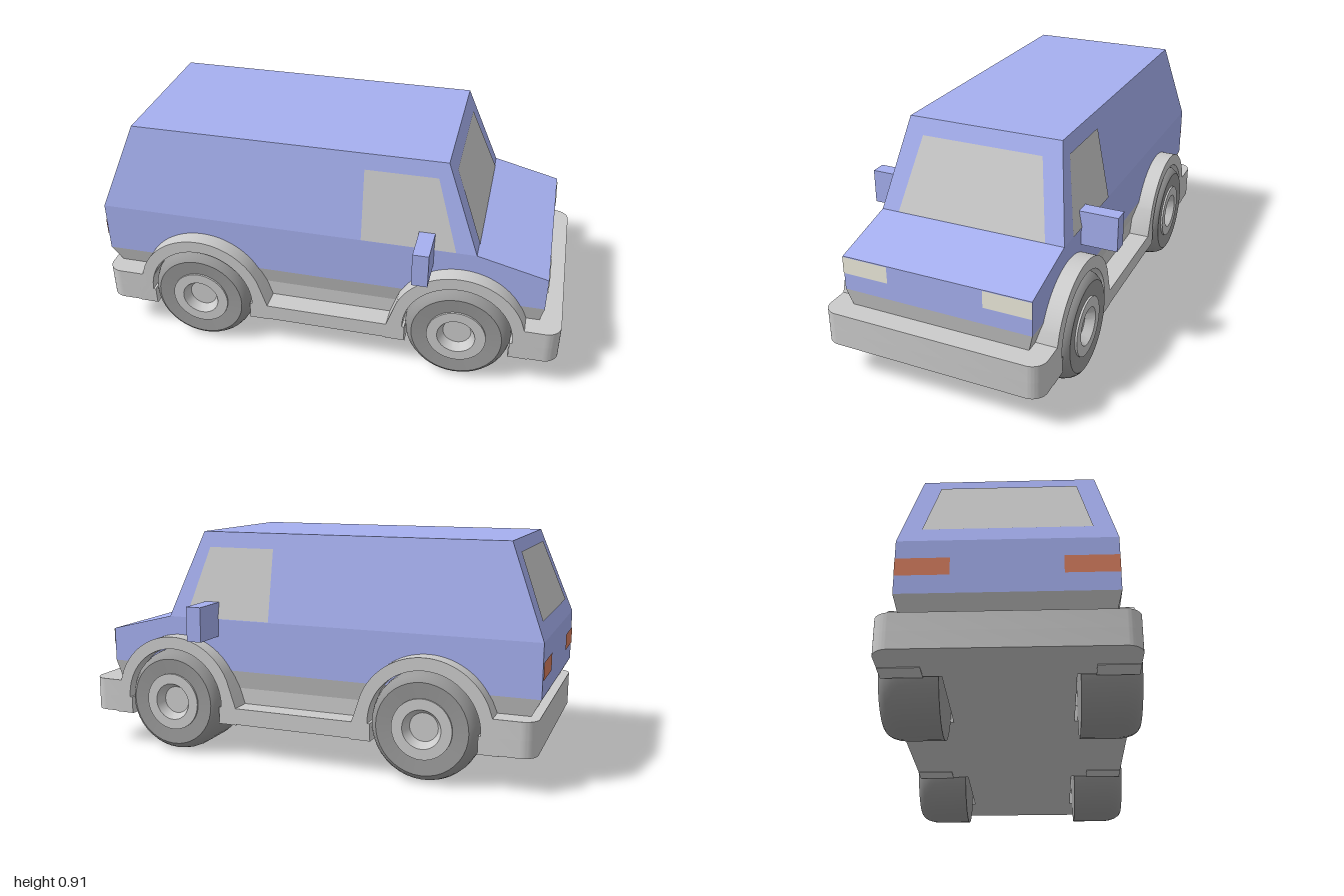
import * as THREE from 'three';
import { toCreasedNormals } from 'three/addons/utils/BufferGeometryUtils.js';
import { ConvexGeometry } from 'three/addons/geometries/ConvexGeometry.js';

const paint = (color) => new THREE.MeshStandardMaterial({ color });
const grey = paint(0xcccccc);
const rubber = paint(0x999999);
const blue = paint(0xa6b0f0);
const glass = new THREE.MeshStandardMaterial({ color: 0xcccccc, side: THREE.DoubleSide });
const lampWhite = new THREE.MeshStandardMaterial({ color: 0xeeecdc, side: THREE.DoubleSide });
const lampRed = new THREE.MeshStandardMaterial({ color: 0xd87f60, side: THREE.DoubleSide });

const HALF_L = 0.948, HALF_W = 0.451, CORNER = 0.06;
const AXLES = { front: 0.546, rear: -0.526 };
const WHEEL_Y = 0.215;

function add(parent, name, geometry, material) {
  const mesh = new THREE.Mesh(geometry, material);
  mesh.name = name;
  parent.add(mesh);
  return mesh;
}

// Convex block mirrored in x from [halfWidth, y, z] points
function block(points) {
  return new ConvexGeometry(points.flatMap(([w, y, z]) =>
    [new THREE.Vector3(w, y, z), new THREE.Vector3(-w, y, z)]));
}

// Flat four-cornered panel, lifted slightly off the body surface
function panel(corners) {
  let p = corners.map((c) => new THREE.Vector3(...c));
  const centre = p.reduce((s, v) => s.add(v), new THREE.Vector3()).divideScalar(4);
  const normal = p[1].clone().sub(p[0]).cross(p[2].clone().sub(p[0])).normalize();
  if (normal.dot(centre.clone().sub(new THREE.Vector3(0, 0.45, 0))) < 0) {
    normal.negate();
    p.reverse();
  }
  p = p.map((v) => v.addScaledVector(normal, 0.003));
  const g = new THREE.BufferGeometry().setFromPoints([0, 1, 2, 0, 2, 3].map((i) => p[i]));
  g.computeVertexNormals();
  return g;
}

// Plan-view shape (x, z) raised between two heights
function slab(shape, y0, y1) {
  const g = new THREE.ExtrudeGeometry(shape, { depth: y1 - y0, bevelEnabled: false, curveSegments: 8 });
  return toCreasedNormals(g.rotateX(Math.PI / 2).translate(0, y1, 0), 0.5);
}

// Chassis outline with rounded corners and a notch for every wheel
function chassisShape() {
  const s = new THREE.Shape();
  const a = HALF_W - CORNER, b = HALF_L - CORNER, q = Math.PI / 2;
  const notch = (side, z, dir) => {
    s.lineTo(side * HALF_W, z - dir * 0.21);
    s.lineTo(side * 0.235, z - dir * 0.21);
    s.lineTo(side * 0.235, z + dir * 0.21);
    s.lineTo(side * HALF_W, z + dir * 0.21);
  };
  s.moveTo(-a, -HALF_L);
  s.absarc(a, -b, CORNER, -q, 0, false);
  notch(1, AXLES.rear, 1);
  notch(1, AXLES.front, 1);
  s.absarc(a, b, CORNER, 0, q, false);
  s.absarc(-a, b, CORNER, q, 2 * q, false);
  notch(-1, AXLES.front, -1);
  notch(-1, AXLES.rear, -1);
  s.absarc(-a, -b, CORNER, 2 * q, 3 * q, false);
  return s;
}

// Bumper block from zStart to the end of the chassis, dir = +1 front, -1 rear
function bumperShape(zStart, dir) {
  const s = new THREE.Shape();
  const a = HALF_W - CORNER, b = dir * (HALF_L - CORNER), q = dir * Math.PI / 2;
  s.moveTo(-HALF_W, zStart);
  s.lineTo(HALF_W, zStart);
  s.absarc(a, b, CORNER, 0, q, dir < 0);
  s.absarc(-a, b, CORNER, q, 2 * q, dir < 0);
  return s;
}

// Wheel arch: ring with flared feet, extruded outwards along x
function archGeometry() {
  const s = new THREE.Shape();
  s.moveTo(0.287, -0.075);
  s.lineTo(0.285, -0.005);
  s.absarc(0, 0, 0.27, 0.42, Math.PI - 0.42, false);
  s.lineTo(-0.285, -0.005);
  s.lineTo(-0.287, -0.075);
  s.lineTo(-0.207, -0.075);
  s.absarc(0, 0, 0.22, Math.PI + 0.348, -0.348, true);
  const g = new THREE.ExtrudeGeometry(s, { depth: 0.15, bevelEnabled: false, curveSegments: 28 });
  return toCreasedNormals(g.rotateY(Math.PI / 2).translate(HALF_W - 0.15, 0, 0), 0.5);
}

// Turned part whose axis runs along x; points are [radius, x]
function turned(points) {
  const g = new THREE.LatheGeometry(points.map(([r, x]) => new THREE.Vector2(r, x)), 40);
  return toCreasedNormals(g.rotateZ(-Math.PI / 2), 0.6);
}

export function createModel() {
  const model = new THREE.Group();
  const van = new THREE.Group();
  van.name = 'van';
  van.rotation.y = THREE.MathUtils.degToRad(38.3);
  model.add(van);

  // Body shell
  add(van, 'cabin', block([
    [0.385, 0.56, -0.95], [0.385, 0.56, 0.595], [0.317, 0.913, -0.812], [0.317, 0.913, 0.459],
  ]), blue);
  add(van, 'lowerBody', block([
    [0.385, 0.35, -0.95], [0.385, 0.35, 0.874], [0.385, 0.49, 0.874],
    [0.385, 0.56, 0.595], [0.385, 0.56, -0.95],
  ]), blue);
  add(van, 'skirt', block([
    [0.385, 0.35, -0.95], [0.385, 0.35, 0.874], [0.365, 0.275, -0.91], [0.365, 0.275, 0.86],
  ]), grey);

  // Chassis, bumpers and the core between the wheels
  add(van, 'chassis', slab(chassisShape(), 0.143, 0.21), grey);
  add(van, 'frontBumper', slab(bumperShape(AXLES.front + 0.22, 1), 0.21, 0.28), grey);
  add(van, 'rearBumper', slab(bumperShape(AXLES.rear - 0.22, -1), 0.21, 0.28), grey);
  add(van, 'chassisCore', new THREE.BoxGeometry(0.47, 0.08, 1.6).translate(0, 0.245, 0.01), grey);
  add(van, 'floorSide', new THREE.BoxGeometry(0.73, 0.08, 0.6).translate(0, 0.245, 0.01), grey);

  // Front and rear glass
  add(van, 'windshield', panel([
    [-0.31, 0.562, 0.595], [0.31, 0.562, 0.595], [0.25, 0.85, 0.483], [-0.25, 0.85, 0.483],
  ]), glass);
  add(van, 'rearWindow', panel([
    [-0.3, 0.62, -0.9265], [0.3, 0.62, -0.9265], [0.25, 0.867, -0.83], [-0.25, 0.867, -0.83],
  ]), glass);

  // Wheel geometry shared by all four corners
  const tireGeo = turned([
    [0, 0.247], [0.215, 0.247], [0.215, 0.39], [0.212, 0.415], [0.204, 0.44],
    [0.192, 0.458], [0.18, 0.466], [0.115, 0.46],
  ]);
  const rimGeo = turned([[0.118, 0.45], [0.118, 0.468], [0.076, 0.468], [0.056, 0.432], [0, 0.432]]);
  const archGeo = archGeometry();

  for (const side of [1, -1]) {
    const label = side > 0 ? 'left' : 'right';
    add(van, label + 'SideWindow', panel([
      [side * 0.385, 0.562, 0.14], [side * 0.385, 0.562, 0.515],
      [side * 0.329, 0.85, 0.425], [side * 0.329, 0.85, 0.14],
    ]), glass);
    for (const [name, z, mat] of [['Headlight', 0.874, lampWhite], ['Taillight', -0.95, lampRed]]) {
      add(van, label + name, panel([
        [side * 0.195, 0.42, z], [side * 0.385, 0.42, z],
        [side * 0.385, 0.488, z], [side * 0.195, 0.488, z],
      ]), mat);
    }
    add(van, label + 'Mirror',
      new THREE.BoxGeometry(0.18, 0.14, 0.063).translate(side * 0.44, 0.56, 0.398), blue);

    // Wheels and arches, turned half round for the right side
    for (const [end, z] of Object.entries(AXLES)) {
      const corner = new THREE.Group();
      corner.name = `${label}${end === 'front' ? 'Front' : 'Rear'}Wheel`;
      corner.position.set(0, WHEEL_Y, z);
      corner.rotation.y = side > 0 ? 0 : Math.PI;
      add(corner, 'tire', tireGeo, rubber);
      add(corner, 'rim', rimGeo, grey);
      add(corner, 'wheelArch', archGeo, grey);
      van.add(corner);
    }
  }
  return model;
}
